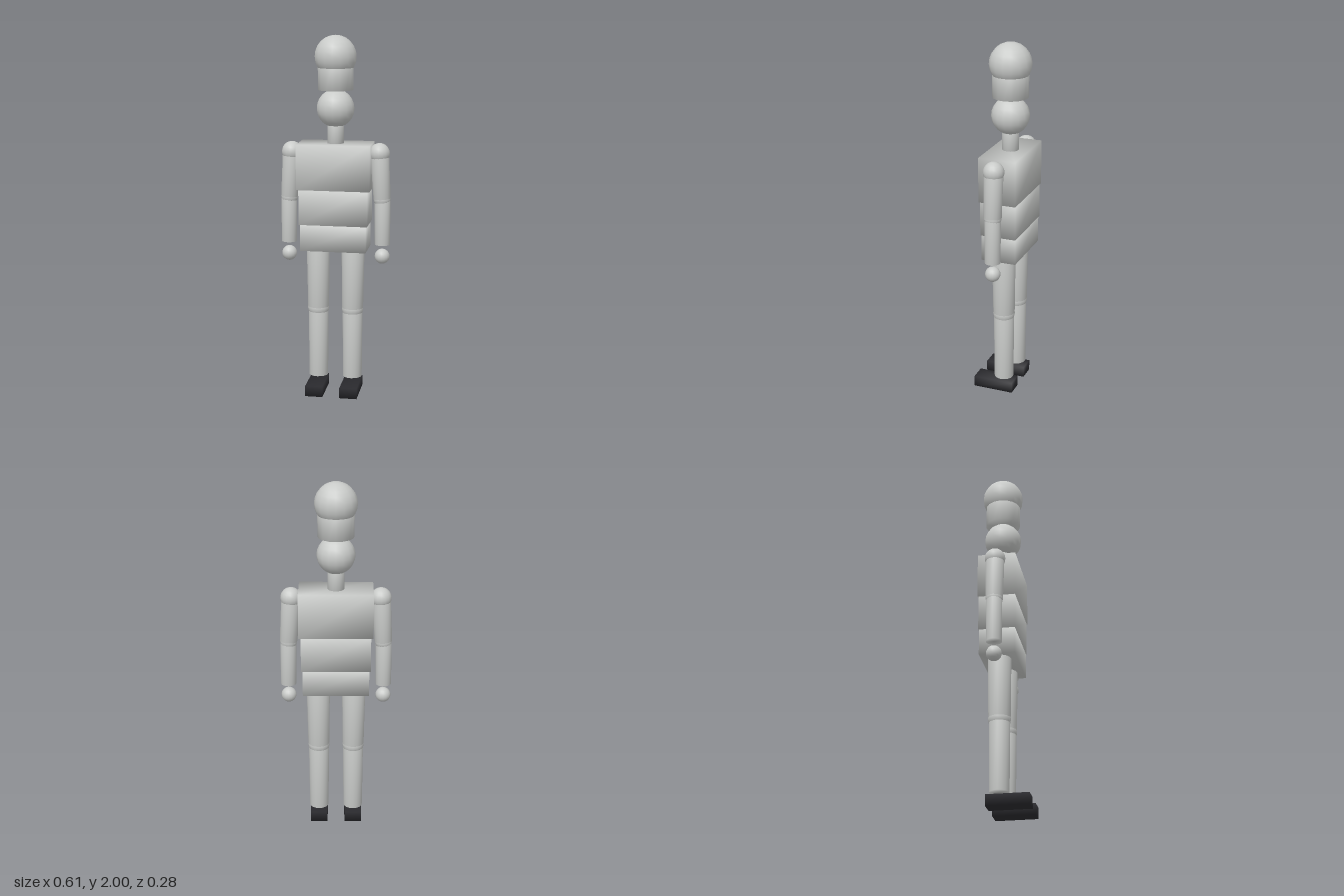
import * as THREE from 'three';
import { mergeVertices } from 'three/addons/utils/BufferGeometryUtils.js';

const Z = -0.025; // depth of the body axis

// Weld all corners so shading runs smoothly over every edge
function soften(geometry) {
  geometry.deleteAttribute('normal');
  geometry.deleteAttribute('uv');
  const welded = mergeVertices(geometry, 1e-4);
  welded.computeVertexNormals();
  return welded;
}

export function createModel() {
  const model = new THREE.Group();
  model.name = 'jointedFigure';
  const body = new THREE.MeshStandardMaterial({ name: 'pale grey', color: 0xc9cbc9 });
  const shoe = new THREE.MeshStandardMaterial({ name: 'charcoal', color: 0x2b2b2f });

  function add(parent, name, geometry, material, x, y, z = Z) {
    const mesh = new THREE.Mesh(soften(geometry), material);
    mesh.name = name;
    mesh.position.set(x, y, z);
    parent.add(mesh);
    return mesh;
  }
  const ball = (parent, name, r, x, y) =>
    add(parent, name, new THREE.SphereGeometry(r, 16, 12), body, x, y);
  const box = (parent, name, w, h, d, x, y, z, material = body) =>
    add(parent, name, new THREE.BoxGeometry(w, h, d), material, x, y, z);

  // Tapered cylinder between two points in the body plane
  function limb(parent, name, x1, y1, r1, x2, y2, r2) {
    const length = Math.hypot(x1 - x2, y1 - y2);
    const mesh = add(parent, name, new THREE.CylinderGeometry(r1, r2, length, 16), body,
      (x1 + x2) / 2, (y1 + y2) / 2);
    mesh.rotation.z = -Math.atan2(x1 - x2, y1 - y2);
  }

  // Head, neck and tall hat
  ball(model, 'hatCrown', 0.115, 0, 1.885);
  limb(model, 'hatBand', 0, 1.86, 0.098, 0, 1.706, 0.098);
  ball(model, 'head', 0.104, 0, 1.605);
  limb(model, 'neck', 0, 1.54, 0.046, 0, 1.415, 0.046);

  // Torso blocks
  box(model, 'chest', 0.404, 0.25, 0.21, 0, 1.29, Z);
  box(model, 'waist', 0.38, 0.195, 0.202, 0, 1.0675, Z);
  box(model, 'hips', 0.364, 0.147, 0.196, 0, 0.8965, Z);

  for (const [side, s] of [['left', 1], ['right', -1]]) {
    // Arm
    const arm = new THREE.Group();
    arm.name = side + 'Arm';
    ball(arm, 'shoulder', 0.057, s * 0.243, 1.363);
    limb(arm, 'upperArm', s * 0.243, 1.363, 0.052, s * 0.259, 1.113, 0.048);
    ball(arm, 'elbow', 0.047, s * 0.259, 1.11);
    limb(arm, 'forearm', s * 0.261, 1.11, 0.044, s * 0.263, 0.855, 0.043);
    ball(arm, 'hand', 0.042, s * 0.262, 0.787);
    model.add(arm);

    // Leg
    const leg = new THREE.Group();
    leg.name = side + 'Leg';
    limb(leg, 'thigh', s * 0.099, 0.85, 0.065, s * 0.097, 0.478, 0.06);
    ball(leg, 'knee', 0.061, s * 0.097, 0.478);
    limb(leg, 'shin', s * 0.097, 0.478, 0.057, s * 0.097, 0.08, 0.054);
    box(leg, 'foot', 0.097, 0.06, 0.23, s * 0.097, 0.03, 0.025, shoe);
    model.add(leg);
  }
  return model;
}
